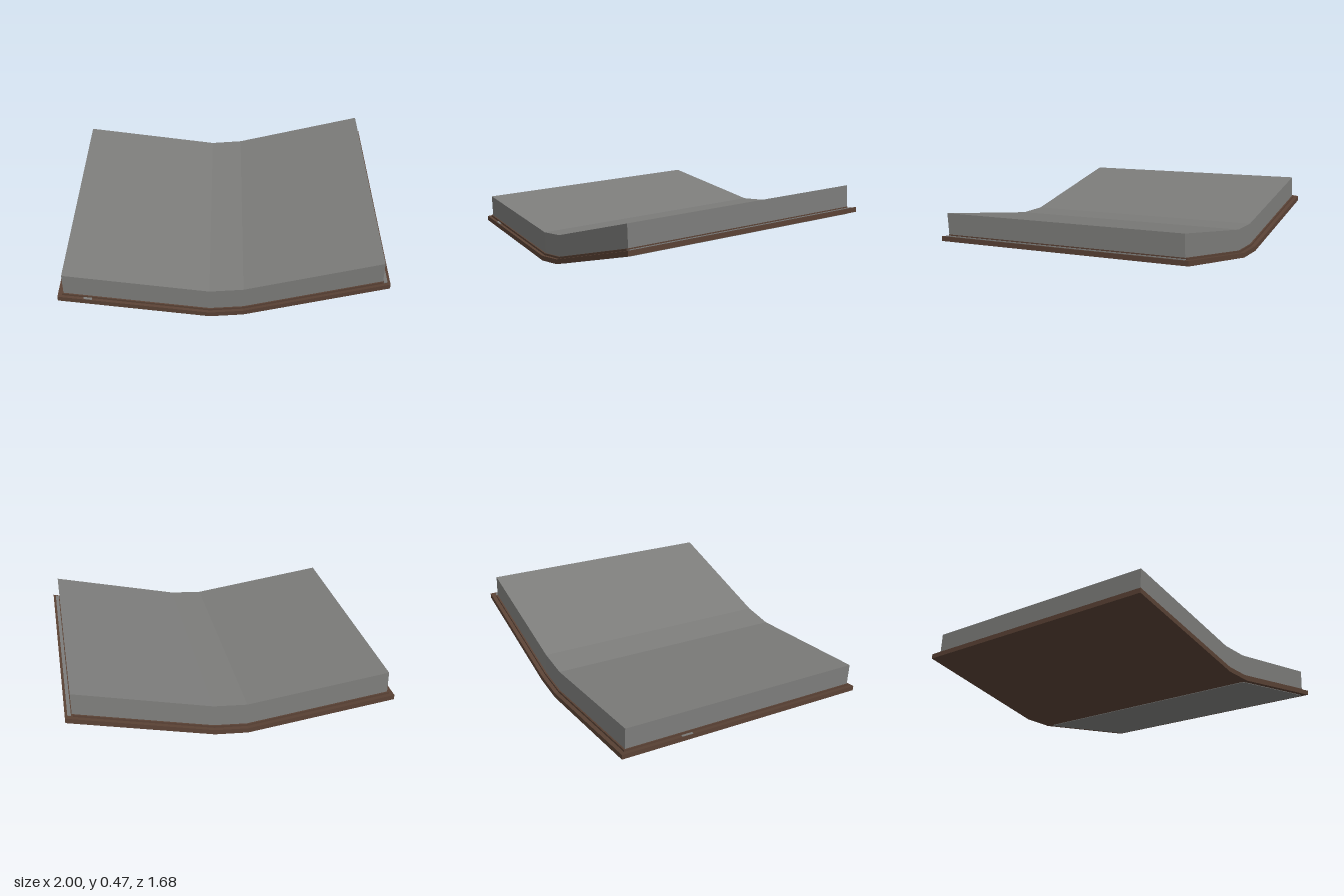
import * as THREE from 'three';

// Bent profile of the underside along the front edge: [x, y]
const PROFILE = [[-1, 0.12], [-0.11, 0], [0.09, 0.015], [0.94, 0.22]];
const LENGTH = 1.61;

function profileY(x) {
  let i = 0;
  while (i < PROFILE.length - 2 && x > PROFILE[i + 1][0]) i++;
  const [x0, y0] = PROFILE[i], [x1, y1] = PROFILE[i + 1];
  return y0 + (y1 - y0) * (x - x0) / (x1 - x0);
}

// Bends and tilts a flat part: x across, y height above the underside, z from 0 (front) to -LENGTH (back)
function bend(flat) {
  const geometry = flat.index ? flat.toNonIndexed() : flat;
  const p = geometry.attributes.position;
  for (let i = 0; i < p.count; i++) {
    const x = p.getX(i), h = p.getY(i), v = -p.getZ(i);
    p.setXYZ(i, x + 0.035 * v, profileY(x) + 0.056 * v + h, 0.77 + 0.036 * (x + 1) - v + 0.04 * h);
  }
  geometry.computeVertexNormals();
  return geometry;
}

// Box whose cross-section follows the profile between the listed x stations
function bentSlab(xs, h0, h1, v0, v1) {
  const n = xs.length - 1;
  const box = new THREE.BoxGeometry(n, 1, 1, n, 1, 1);
  const p = box.attributes.position;
  for (let i = 0; i < p.count; i++) {
    p.setXYZ(i, xs[Math.round(p.getX(i) + n / 2)], p.getY(i) > 0 ? h1 : h0, p.getZ(i) > 0 ? -v0 : -v1);
  }
  return bend(box);
}

// Flat panel with rounded corners
function roundedPanel(x0, x1, v0, v1, r, h0, h1) {
  const s = new THREE.Shape();
  s.moveTo(x0 + r, v0);
  s.lineTo(x1 - r, v0);
  s.quadraticCurveTo(x1, v0, x1, v0 + r);
  s.lineTo(x1, v1 - r);
  s.quadraticCurveTo(x1, v1, x1 - r, v1);
  s.lineTo(x0 + r, v1);
  s.quadraticCurveTo(x0, v1, x0, v1 - r);
  s.lineTo(x0, v0 + r);
  s.quadraticCurveTo(x0, v0, x0 + r, v0);
  const g = new THREE.ExtrudeGeometry(s, { depth: h1 - h0, bevelEnabled: false, curveSegments: 5 });
  return bend(g.rotateX(-Math.PI / 2).translate(0, h0, 0));
}

export function createModel() {
  const group = new THREE.Group();
  const stone = new THREE.MeshStandardMaterial({ name: 'stone grey', color: 0x7d7d7b, flatShading: true });
  const earth = new THREE.MeshStandardMaterial({ name: 'earth brown', color: 0x5a4235, flatShading: true });

  const add = (name, geometry, material) => {
    const mesh = new THREE.Mesh(geometry, material);
    mesh.name = name;
    group.add(mesh);
  };

  // Brown base with a stepped lip
  add('base', bentSlab([-1, -0.11, 0.09, 0.94], 0, 0.03, 0, LENGTH), earth);
  add('baseLip', bentSlab([-0.975, -0.11, 0.09, 0.895], 0.03, 0.042, 0.018, LENGTH - 0.025), earth);

  // Thick grey paving slab
  add('slab', bentSlab([-0.967, -0.11, 0.09, 0.9], 0.042, 0.174, 0.026, LENGTH - 0.035), stone);

  // Grey insert showing below the raised side and along its rim
  add('undersidePanel', roundedPanel(0.095, 0.915, 0.03, LENGTH - 0.03, 0.035, -0.003, 0.004), stone);
  add('rimStrip', bentSlab([0.905, 0.925], 0.028, 0.035, 0.02, LENGTH - 0.03), stone);

  // Small grey chips on the rim
  add('frontChip', bentSlab([-0.85, -0.8], 0.028, 0.033, 0.003, 0.022), stone);
  add('sideChip', bentSlab([-0.998, -0.982], 0.028, 0.033, 1.16, 1.23), stone);

  return group;
}
